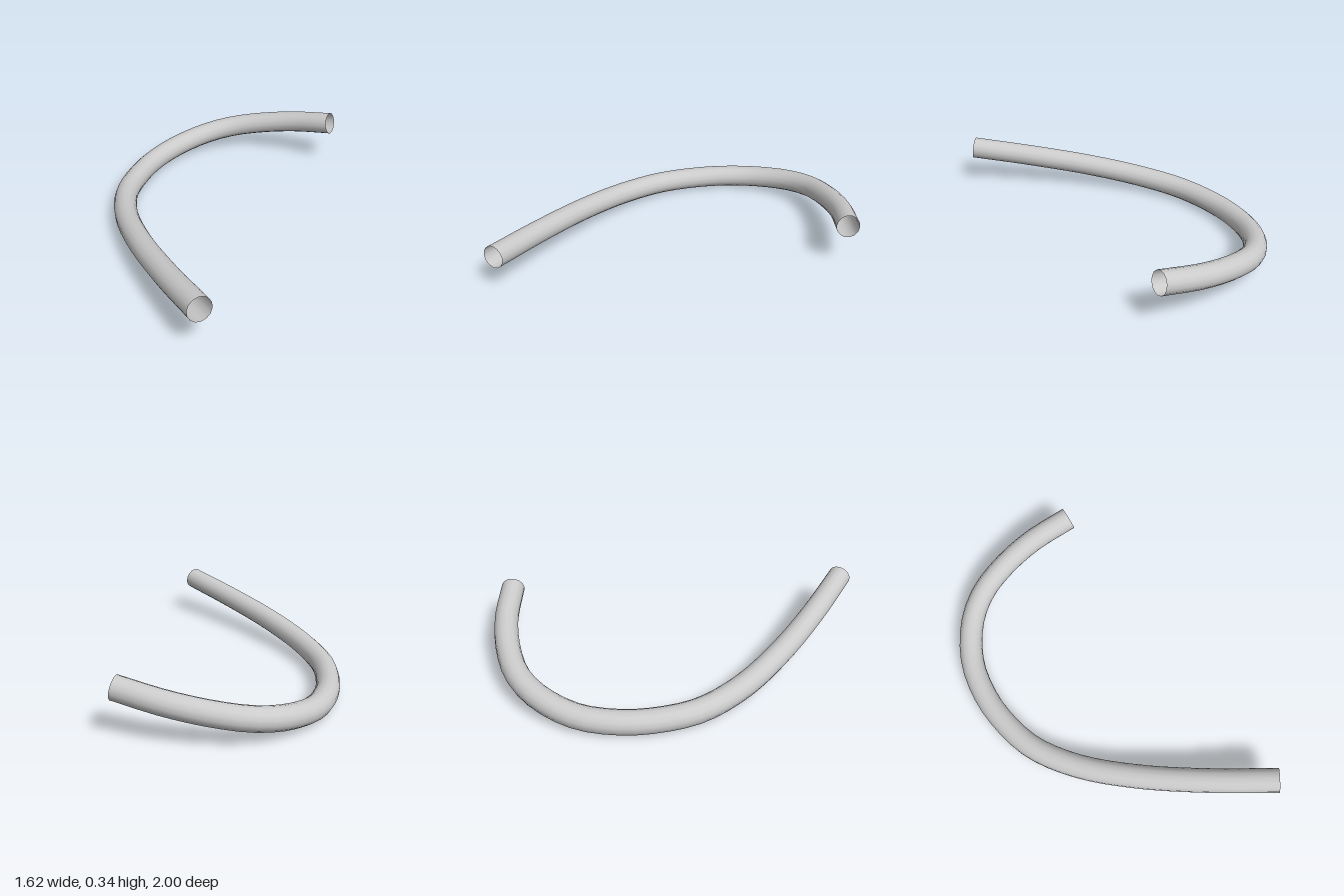
import * as THREE from 'three';

export function createModel() {
  const group = new THREE.Group();

  // Centreline of the bent pipe, from the front end round to the short end
  const path = new THREE.CatmullRomCurve3([
    [-0.67, 0.24, 0.986],
    [-0.722, 0.19, 0.6],
    [-0.751, 0.14, 0.2],
    [-0.735, 0.097, -0.15],
    [-0.66, 0.073, -0.43],
    [-0.53, 0.067, -0.63],
    [-0.39, 0.069, -0.77],
    [-0.2, 0.08, -0.885],
    [0.03, 0.112, -0.932],
    [0.22, 0.145, -0.905],
    [0.4, 0.183, -0.81],
    [0.58, 0.227, -0.66],
    [0.75, 0.275, -0.453],
  ].map((p) => new THREE.Vector3(...p)));

  // Hollow pipe, open at both ends
  const pipe = new THREE.Mesh(
    new THREE.TubeGeometry(path, 40, 0.068, 14, false),
    new THREE.MeshStandardMaterial({ color: 0xcccccc, side: THREE.DoubleSide }),
  );
  pipe.name = 'bentPipe';
  group.add(pipe);

  return group;
}
